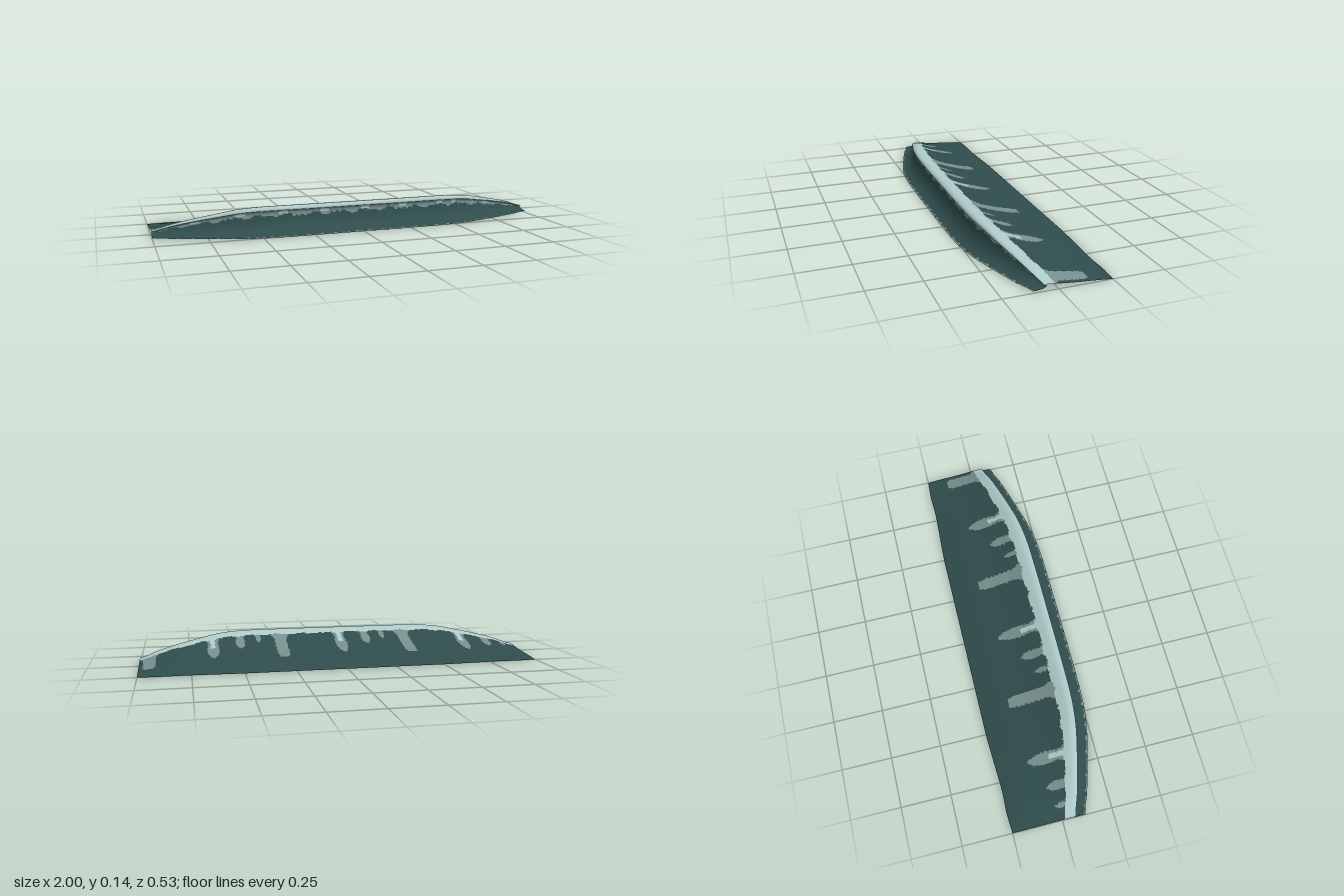
import * as THREE from 'three';

const COLS = 320, ROWS = 90, REACH = 0.265, CREST = 0.136;

// Cross-section of the breaker as (z, y): front foot, hollow face, lip, crest, back slope
const profile = new THREE.SplineCurve([
  [0.265, 0.001], [0.235, 0.011], [0.212, 0.026], [0.193, 0.05], [0.182, 0.075], [0.177, 0.097],
  [0.181, 0.112], [0.193, 0.117], [0.195, 0.123], [0.188, 0.132], [0.172, 0.136], [0.15, 0.131],
  [0.1, 0.109], [0.05, 0.088], [0, 0.072], [-0.05, 0.058], [-0.1, 0.047], [-0.15, 0.036],
  [-0.2, 0.021], [-0.265, 0],
].map(([z, y]) => new THREE.Vector2(z, y)));

// Values along the half length, one every 0.1 from the middle to the end
const along = (values) => {
  const curve = new THREE.SplineCurve(values.map((v, i) => new THREE.Vector2(i / 10, v)));
  return (x) => curve.getPoint(Math.min(1, Math.abs(x))).y;
};
const frontEdge = along([0.265, 0.265, 0.265, 0.264, 0.262, 0.255, 0.238, 0.212, 0.183, 0.152, 0.115]);
const backEdge = along([-0.265, -0.265, -0.265, -0.265, -0.265, -0.265, -0.261, -0.256, -0.252, -0.256, -0.25]);
const height = along([0.136, 0.136, 0.136, 0.136, 0.136, 0.134, 0.126, 0.106, 0.084, 0.058, 0.024]);

// Foam fingers running down the back, repeated along the wave: [x, half width, reach in z]
const PERIOD = 0.665;
const fingers = [[-0.38, 0.03, -0.12], [-0.265, 0.014, 0.05], [-0.17, 0.023, 0.0], [-0.03, 0.03, -0.09]];

// Width of a finger at z: blunt, or pointed with a waist, both flaring at the base
function fingerWidth(index, half, reach, z) {
  const t = (z - reach) / (0.125 - reach);
  if (t < 0) return 0;
  const flare = 0.022 * Math.max(0, t - 0.8) / 0.2;
  if (index === 0) return half * Math.min(1, 0.75 + t * 1.5) + flare;
  return half * Math.sin(Math.PI * Math.min(0.8, Math.pow(t, 0.75) * 0.85)) + flare;
}

// 0 water, 1 pale crest foam, 2 thin foam
function foamKind(x, z, y, onBack) {
  const ripple = Math.sin(x * 47) * 0.5 + Math.sin(x * 83 + 1) * 0.3 + Math.sin(x * 211) * 0.2;
  if (!onBack) {
    if (y > 0.114) return 1;
    if (y > 0.09 + 0.012 * ripple) return Math.sin(x * 29) + Math.sin(x * 61) > 0.9 && y > 0.1 ? 1 : 2;
    return z > 0.258 + 0.006 * Math.sin(x * 140) * Math.sin(x * 37) ? 2 : 0;
  }
  if (z > 0.118 + 0.008 * ripple) return 1;
  for (let i = 0; i < fingers.length; i++) {
    const [cx, half, reach] = fingers[i];
    const dx = x - cx - PERIOD * Math.round((x - cx) / PERIOD);
    const width = fingerWidth(i, half, reach, z) + 0.002 * Math.sin(z * 260 + i);
    if (z > reach && Math.abs(dx) < width) {
      return i === 3 && z > 0.03 && Math.abs(dx) < width * 0.45 ? 1 : 2;
    }
  }
  return 0;
}

export function createModel() {
  const wave = new THREE.Group();
  wave.name = 'oceanWave';
  const side = THREE.DoubleSide;
  const materials = [
    new THREE.MeshStandardMaterial({ name: 'deepWater', color: 0x2f4c4c, side }),
    new THREE.MeshStandardMaterial({ name: 'paleFoam', color: 0xaecbc9, side }),
    new THREE.MeshStandardMaterial({ name: 'thinFoam', color: 0x778f8d, side }),
  ];

  // Sweep the section along x, shrinking and pulling it back towards the ends
  const section = profile.getSpacedPoints(ROWS);
  const tip = section.reduce((best, p, i) => (p.y > section[best].y ? i : best), 0);
  const positions = [];
  for (let r = 0; r <= ROWS; r++) {
    const p = section[r], k = (p.x + REACH) / (2 * REACH);
    for (let c = 0; c <= COLS; c++) {
      const x = -1 + 2 * c / COLS, scale = height(x) / CREST;
      const y = Math.max(0, p.y * scale + 0.01 * (1 - scale) * k);
      positions.push(x, y, THREE.MathUtils.lerp(backEdge(x), frontEdge(x), k));
    }
  }

  // Sort the cells of the sheet by colour
  const faces = [[], [], []];
  for (let r = 0; r < ROWS; r++) {
    const z = (section[r].x + section[r + 1].x) / 2, y = (section[r].y + section[r + 1].y) / 2;
    for (let c = 0; c < COLS; c++) {
      const a = r * (COLS + 1) + c, d = a + COLS + 1;
      const x = -1 + 2 * (c + 0.5) / COLS;
      faces[foamKind(x, z, y, r >= tip)].push(a, a + 1, d, a + 1, d + 1, d);
    }
  }

  // One smooth surface, shared by the three coloured parts
  const sheet = new THREE.BufferGeometry();
  sheet.setAttribute('position', new THREE.Float32BufferAttribute(positions, 3));
  sheet.setIndex(faces.flat());
  sheet.computeVertexNormals();
  ['waterSurface', 'crestFoam', 'foamStreaks'].forEach((name, i) => {
    const geometry = new THREE.BufferGeometry();
    geometry.setAttribute('position', sheet.attributes.position);
    geometry.setAttribute('normal', sheet.attributes.normal);
    geometry.setIndex(faces[i]);
    const mesh = new THREE.Mesh(geometry, materials[i]);
    mesh.name = name;
    wave.add(mesh);
  });
  return wave;
}
